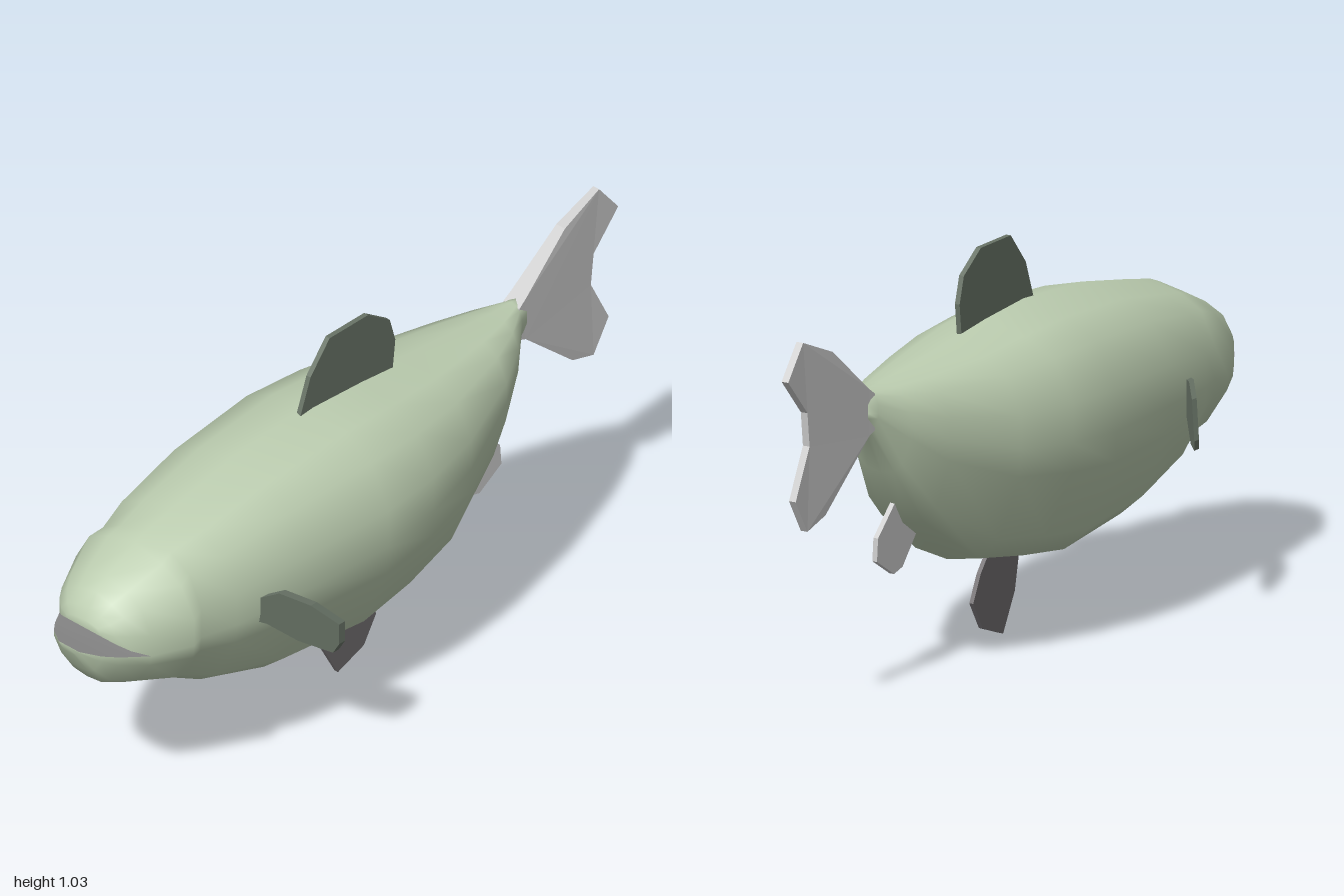
import * as THREE from 'three';
import { mergeVertices } from 'three/addons/utils/BufferGeometryUtils.js';

// Half sections as [width fraction, height fraction from the side seam], side to middle
const UPPER = [[1, 0], [1, 0.36], [0.78, 0.74], [0.45, 0.9], [0, 1]];
const LOWER = [[1, 0], [0.98, 0.23], [0.69, 0.77], [0.43, 0.95], [0, 1]];

// Stations: [z, half width, seam y, top y, bottom y]
const TRUNK = [
  [0.86, 0.155, 0.532, 0.703, 0.405],
  [0.755, 0.205, 0.535, 0.752, 0.37],
  [0.715, 0.192, 0.535, 0.768, 0.35],
  [0.62, 0.225, 0.54, 0.79, 0.30],
  [0.4, 0.258, 0.55, 0.835, 0.23],
  [0.12, 0.277, 0.55, 0.857, 0.202],
  [-0.06, 0.262, 0.56, 0.845, 0.228],
  [-0.24, 0.222, 0.58, 0.825, 0.26],
  [-0.45, 0.145, 0.64, 0.806, 0.405],
  [-0.55, 0.092, 0.69, 0.797, 0.56],
  [-0.62, 0.037, 0.735, 0.795, 0.675],
  [-0.65, 0.026, 0.74, 0.798, 0.68],
];
const SNOUT = [
  [0.942, 0.06, 0.588, 0.612, 0],
  [0.925, 0.095, 0.572, 0.638, 0],
  [0.9, 0.125, 0.553, 0.675, 0],
];
const JAW = [
  [0.997, 0.035, 0.557, 0, 0.54],
  [0.965, 0.083, 0.55, 0, 0.48],
  [0.93, 0.112, 0.543, 0, 0.432],
];

// Points of one half ring, running anticlockwise as seen from the front
function halfRing([z, w, seam, top, bottom], upper) {
  const side = upper ? 1 : -1;
  const end = upper ? top : bottom;
  const at = ([u, v], s) => [s * u * w, seam + v * (end - seam), z];
  const half = upper ? UPPER : LOWER;
  return [
    ...half.map((p) => at(p, side)),
    ...half.slice(0, -1).reverse().map((p) => at(p, -side)),
  ];
}

function makeGeometry(points, index) {
  const geo = new THREE.BufferGeometry();
  geo.setAttribute('position', new THREE.Float32BufferAttribute(points.flat(), 3));
  geo.setIndex(index);
  const merged = mergeVertices(geo, 1e-4);
  merged.computeVertexNormals();
  return merged;
}

// Skin: upper and lower shells that share a seam behind the mouth corners
function bodyGeometry() {
  const points = [], index = [];
  for (const upper of [true, false]) {
    const rings = [...(upper ? SNOUT : JAW), ...TRUNK].map((s) => halfRing(s, upper));
    const n = rings[0].length, base = points.length;
    rings.forEach((r) => points.push(...r));
    for (let i = 0; i < rings.length - 1; i++) {
      for (let j = 0; j < n - 1; j++) {
        const a = base + i * n + j, c = a + n;
        index.push(a, c, a + 1, a + 1, c, c + 1);
      }
    }
    // Close the lip and the tail root
    const last = base + (rings.length - 1) * n;
    for (let j = 1; j < n - 1; j++) {
      index.push(base, base + j, base + j + 1);
      index.push(last, last + j + 1, last + j);
    }
  }
  return makeGeometry(points, index);
}

// Flat inner surface of one jaw, from lip to mouth corner
function mouthGeometry(stations) {
  const points = [], index = [];
  [...stations, TRUNK[0]].forEach(([z, w, seam], i) => {
    points.push([w, seam, z], [-w, seam, z]);
    if (i > 0) index.push(2 * i - 2, 2 * i - 1, 2 * i, 2 * i, 2 * i - 1, 2 * i + 1);
  });
  return makeGeometry(points, index);
}

function slab(outline, depth) {
  const shape = new THREE.Shape(outline.map(([a, b]) => new THREE.Vector2(a, b)));
  const geo = new THREE.ExtrudeGeometry(shape, { depth, bevelEnabled: false });
  return geo.translate(0, 0, -depth / 2);
}

// Upright fin drawn as [z, y] in the plane of the body
function uprightFin(outline, thickness, x) {
  const geo = slab(outline.map(([z, y]) => [-z, y]), thickness);
  return geo.rotateY(Math.PI / 2).translate(x, 0, 0);
}

// Side fin drawn as [x, y] and swept backward with distance from the body
function sideFin(outline, rootZ, sweep) {
  const geo = slab(outline, 0.022);
  const p = geo.attributes.position;
  for (let i = 0; i < p.count; i++) {
    p.setZ(i, p.getZ(i) + rootZ - (Math.abs(p.getX(i)) - 0.24) * sweep);
  }
  geo.computeVertexNormals();
  return geo;
}

export function createModel() {
  const model = new THREE.Group();
  model.name = 'fish';
  const material = (color, extra = {}) => new THREE.MeshStandardMaterial({ color, ...extra });
  const skin = material(0xbccdb0);
  const darkFin = material(0x687366);
  const greyFin = material(0x6c696b);
  const paleFin = material(0xcccccc);
  const mouth = material(0x8a8a8a, { side: THREE.DoubleSide });

  const add = (name, geo, mat, x = 0) => {
    const mesh = new THREE.Mesh(geo, mat);
    mesh.name = name;
    mesh.position.x = x;
    model.add(mesh);
  };

  add('body', bodyGeometry(), skin, 0.004);
  add('palate', mouthGeometry(SNOUT), mouth, 0.004);
  add('mouthFloor', mouthGeometry(JAW), mouth, 0.004);

  add('dorsalFin', uprightFin([
    [0.17, 0.84], [0.13, 0.95], [0.06, 1.035], [-0.08, 1.035],
    [-0.16, 0.98], [-0.18, 0.91], [-0.17, 0.82],
  ], 0.014, 0.012), darkFin);

  add('bellyFin', uprightFin([
    [0.115, 0.22], [0.09, 0.1], [0.035, 0], [-0.06, 0.035],
    [-0.105, 0.11], [-0.07, 0.18], [-0.02, 0.24],
  ], 0.012, 0.018), greyFin);

  add('rearFin', uprightFin([
    [-0.38, 0.37], [-0.45, 0.29], [-0.49, 0.28], [-0.57, 0.33],
    [-0.565, 0.39], [-0.48, 0.47], [-0.42, 0.43],
  ], 0.014, 0.01), paleFin);

  // Tail fin, thick at the root and thin toward the tips
  const tail = uprightFin([
    [-0.62, 0.785], [-0.645, 0.803], [-0.8, 0.935], [-0.93, 0.988], [-1, 0.9],
    [-0.91, 0.8], [-0.9, 0.71], [-0.965, 0.58], [-0.91, 0.49], [-0.83, 0.515],
    [-0.645, 0.68], [-0.62, 0.69],
  ], 1, 0);
  const p = tail.attributes.position;
  for (let i = 0; i < p.count; i++) {
    const t = THREE.MathUtils.clamp((-0.62 - p.getZ(i)) / 0.25, 0, 1);
    p.setX(i, p.getX(i) * THREE.MathUtils.lerp(0.055, 0.02, t) + 0.004);
  }
  tail.computeVertexNormals();
  add('tailFin', tail, paleFin);

  add('leftSideFin', sideFin([
    [0.235, 0.52], [0.25, 0.51], [0.3, 0.45], [0.355, 0.405], [0.365, 0.43],
    [0.365, 0.49], [0.32, 0.555], [0.27, 0.6], [0.235, 0.59],
  ], 0.535, 1.25), darkFin);

  add('rightSideFin', sideFin([
    [-0.225, 0.5], [-0.235, 0.59], [-0.28, 0.605], [-0.33, 0.58],
    [-0.372, 0.49], [-0.37, 0.465], [-0.31, 0.455],
  ], 0.51, 1.3), darkFin);

  return model;
}
